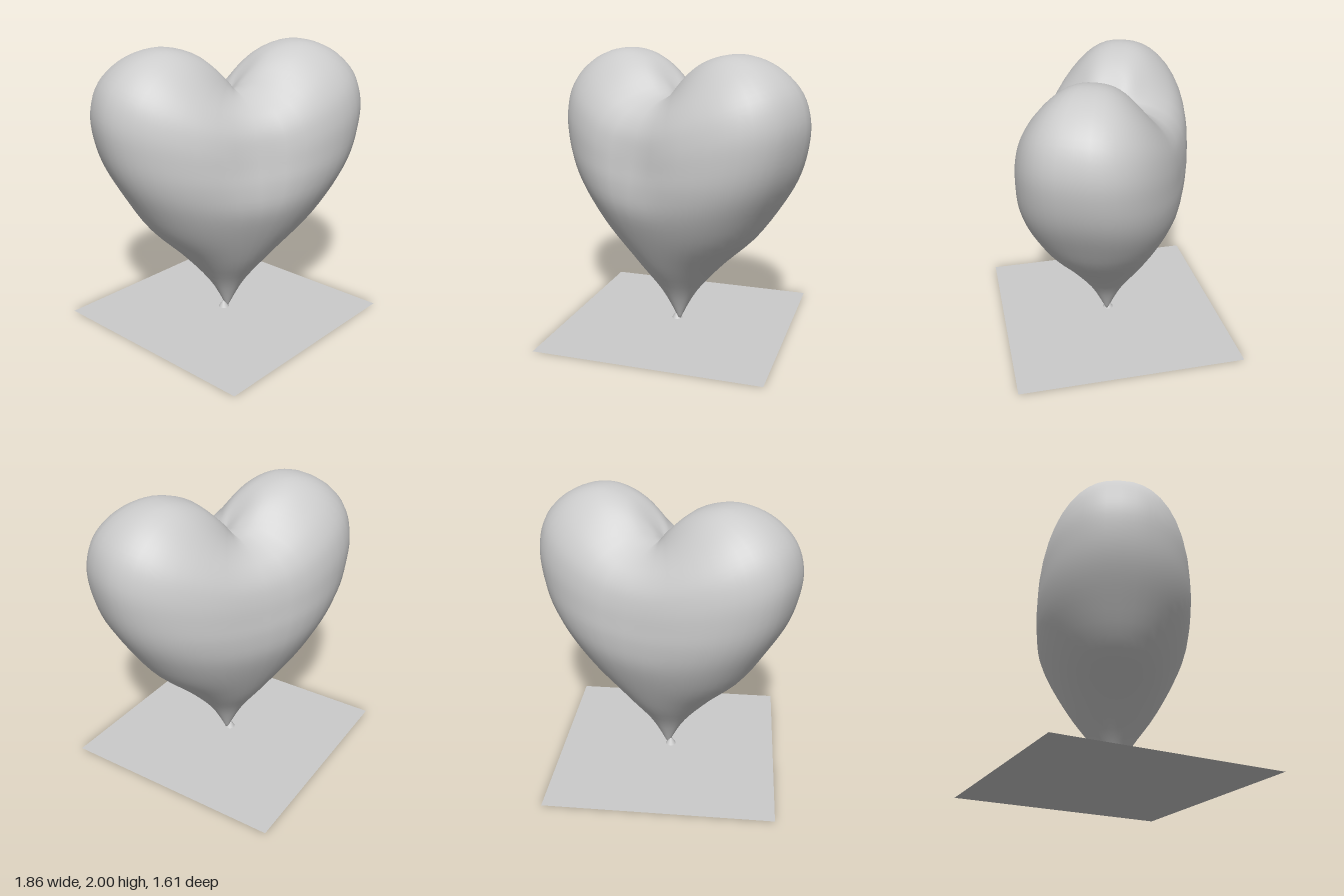
import * as THREE from 'three';
import { mergeVertices } from 'three/addons/utils/BufferGeometryUtils.js';

const { smoothstep, clamp, lerp, degToRad } = THREE.MathUtils;
const curve = (pts) => new THREE.SplineCurve(pts.map(([r, y]) => new THREE.Vector2(r, y)));

// Meridians (radius, height) from the cleft down to the tip:
// one across the lobes, one through the waist between them
const lobeProfile = curve([
  [0, 1.68], [0.1, 1.81], [0.25, 1.94], [0.45, 2.0], [0.63, 1.98], [0.79, 1.9], [0.91, 1.77],
  [0.962, 1.6], [0.95, 1.42], [0.89, 1.22], [0.77, 1.0], [0.6, 0.75], [0.345, 0.5], [0.13, 0.25], [0, 0.01],
]);
const waistProfile = curve([
  [0, 1.68], [0.08, 1.69], [0.18, 1.69], [0.28, 1.67], [0.37, 1.63], [0.45, 1.57], [0.51, 1.48],
  [0.54, 1.37], [0.55, 1.25], [0.55, 1.12], [0.52, 0.95], [0.43, 0.74], [0.29, 0.49], [0.12, 0.25], [0, 0.01],
]);

// Sphere reshaped into an inflated heart by blending the two meridians
function heartGeometry() {
  let geo = new THREE.SphereGeometry(1, 48, 52);
  geo.deleteAttribute('uv');
  geo.deleteAttribute('normal');
  geo = mergeVertices(geo);
  const pos = geo.attributes.position;
  const power = (v, e) => Math.sign(v) * Math.pow(Math.abs(v), e);
  for (let i = 0; i < pos.count; i++) {
    const t = Math.acos(clamp(pos.getY(i), -1, 1)) / Math.PI;
    const ring = Math.hypot(pos.getX(i), pos.getZ(i)) || 1;
    const c = pos.getX(i) / ring;
    const s = pos.getZ(i) / ring;
    const lobe = lobeProfile.getPoint(t);
    const waist = waistProfile.getPoint(t);
    // sharp valley at the cleft, softening outwards
    const soft = 0.06 * smoothstep(waist.x, 0.1, 0.45);
    const valley = (q) => Math.pow(q + soft, 0.33);
    const blend = (valley(c * c) - valley(0)) / (valley(1) - valley(0));
    const y = lerp(waist.y, lobe.y, blend);
    // fuller sections higher up, with a pinch at the front between the lobes
    const e = 1 - 0.18 * smoothstep(y, 0.4, 1.2);
    const x = lobe.x * power(c, e);
    const depth = s > 0 ? 0.12 : 0.03;
    const pinch = depth * smoothstep(y, 0.9, 1.4) * Math.exp(-((x / 0.22) ** 2));
    const z = waist.x * power(s, e) * (1 - pinch) + 0.022;
    // tip sits slightly off centre
    pos.setXYZ(i, x - 0.021 * (1 - smoothstep(y, 0.2, 1.2)), y, z);
  }
  geo.computeVertexNormals();
  return geo;
}

export function createModel() {
  const group = new THREE.Group();
  const grey = new THREE.MeshStandardMaterial({ color: 0xcccccc, side: THREE.DoubleSide });
  const add = (name, geo, x, y, z) => {
    const mesh = new THREE.Mesh(geo, grey);
    mesh.name = name;
    mesh.position.set(x, y, z);
    group.add(mesh);
    return mesh;
  };

  // Balloon body, turned about the vertical
  add('heartBalloon', heartGeometry(), 0, 0, 0).rotation.y = -degToRad(24.5);

  // Small flared lip under the tip
  add('balloonLip', new THREE.CylinderGeometry(0.008, 0.038, 0.05, 16, 1, true), -0.05, 0.045, -0.002);

  // Flat square ground sheet
  add('baseSheet', new THREE.PlaneGeometry(1.61, 1.61).rotateX(-Math.PI / 2), -0.03, 0, -0.005);

  return group;
}
